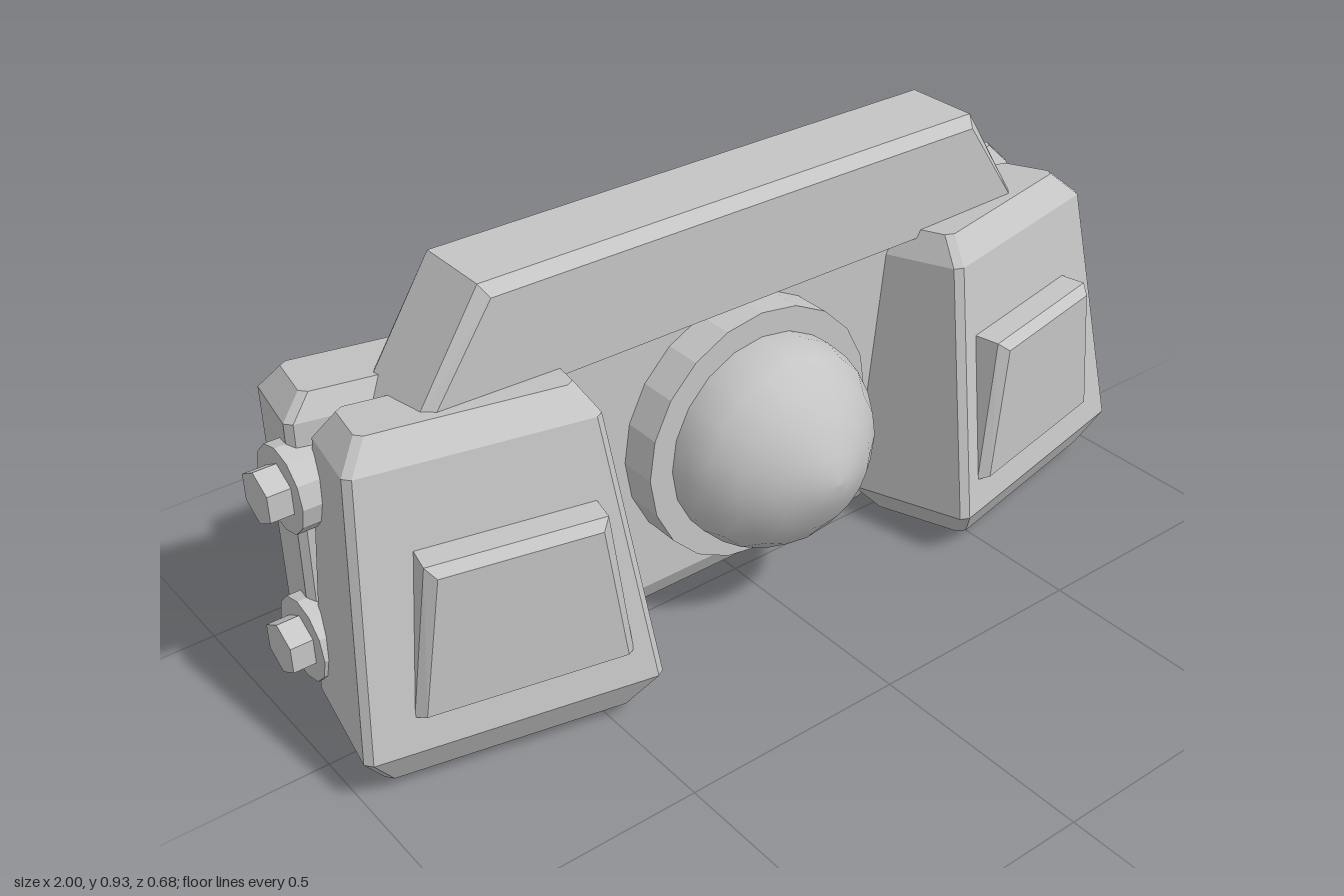
import * as THREE from 'three';
import { ConvexGeometry } from 'three/addons/geometries/ConvexGeometry.js';

const YAW = THREE.MathUtils.degToRad(12);

// Turns a side part's own frame (u across, y up, w forward) into model space
function podPoint(u, y, w, side, shear) {
  const c = Math.cos(YAW), s = Math.sin(YAW);
  return new THREE.Vector3(side * (0.69 + u * c + w * s), y + shear * w, -u * s + w * c);
}

// Solid through stacked rectangles with cut corners: [y, x0, x1, z0, z1]
function chamferedBlock(sections, cut, place) {
  const points = [];
  for (const [y, x0, x1, z0, z1] of sections) {
    for (const [x, dx] of [[x0, cut], [x1, -cut]]) {
      for (const [z, dz] of [[z0, cut], [z1, -cut]]) {
        points.push(place(x + dx, y, z), place(x, y, z + dz));
      }
    }
  }
  return new ConvexGeometry(points);
}

export function createModel() {
  const model = new THREE.Group();
  model.name = 'clampBody';
  const grey = new THREE.MeshStandardMaterial({ color: 0xc4c4c4 });
  grey.name = 'grey';

  const add = (name, geometry, parent = model) => {
    const mesh = new THREE.Mesh(geometry, grey);
    mesh.name = name;
    parent.add(mesh);
    return mesh;
  };

  // Central housing
  add('centreBlock', chamferedBlock([
    [0.015, -0.42, 0.42, -0.3, -0.03],
    [0.07, -0.45, 0.45, -0.33, 0],
    [0.685, -0.45, 0.45, -0.33, 0],
    [0.74, -0.42, 0.42, -0.3, -0.03],
  ], 0.03, (x, y, z) => new THREE.Vector3(x, y, z)));

  // Round base and dome on the front
  const base = new THREE.CylinderGeometry(0.285, 0.285, 0.105, 20).toNonIndexed();
  base.computeVertexNormals();
  add('domeBase', base.rotateX(Math.PI / 2).translate(0, 0.4, 0.033));

  const profile = [
    [0.23, 0.08], [0.232, 0.13], [0.218, 0.18], [0.18, 0.235],
    [0.12, 0.285], [0.06, 0.314], [0.03, 0.326], [0, 0.33],
  ].map(([r, h]) => new THREE.Vector2(r, h));
  add('dome', new THREE.LatheGeometry(profile, 20).rotateX(Math.PI / 2).translate(0, 0.4, 0));

  // Bevelled trapezoid bar across the top
  const outline = new THREE.Shape([
    [-0.77, 0.68], [0.77, 0.68], [0.61, 0.93], [-0.61, 0.93],
  ].map(([x, y]) => new THREE.Vector2(x, y)));
  add('topBar', new THREE.ExtrudeGeometry(outline, {
    depth: 0.17, bevelEnabled: true, bevelSegments: 1,
    bevelSize: 0.023, bevelThickness: 0.023, bevelOffset: -0.023,
  }).translate(0, 0, -0.14));

  for (const side of [1, -1]) {
    const pod = new THREE.Group();
    pod.name = side > 0 ? 'leftPod' : 'rightPod';
    model.add(pod);
    const sheared = (u, y, w) => podPoint(u, y, w, side, 0.12);

    // Tapered front shell
    add('frontShell', chamferedBlock([
      [0.01, -0.28, 0.225, -0.05, 0.19],
      [0.085, -0.335, 0.27, -0.09, 0.23],
      [0.655, -0.27, 0.222, -0.09, 0.13],
      [0.712, -0.235, 0.18, -0.06, 0.08],
    ], 0.015, sheared), pod);

    // Rear shell
    add('rearShell', chamferedBlock([
      [0.07, -0.22, 0.23, -0.25, -0.11],
      [0.12, -0.26, 0.27, -0.28, -0.085],
      [0.685, -0.26, 0.265, -0.305, -0.085],
      [0.735, -0.22, 0.225, -0.27, -0.11],
    ], 0.015, sheared), pod);

    // Raised trapezoid panel, upright against the sloping shell
    const panel = [];
    for (const [w, inset] of [[0.1, 0], [0.215, 0], [0.235, 0.018]]) {
      panel.push(
        podPoint(-0.275 + inset, 0.185 + inset * 0.4, w, side, 0),
        podPoint(0.165 - inset, 0.185 + inset * 0.4, w, side, 0),
        podPoint(0.12 - inset, 0.51 - inset, w, side, 0),
        podPoint(-0.235 + inset, 0.51 - inset, w, side, 0),
      );
    }
    add('frontPanel', new ConvexGeometry(panel), pod);

    // Washers and hex bolts on the outer side
    for (const y of [0.54, 0.19]) {
      for (const [name, radius, sides, x0, x1] of [
        ['washer', 0.09, 12, 0.86, 0.952], ['bolt', 0.057, 6, 0.9, 1.0],
      ]) {
        const disc = new THREE.CylinderGeometry(radius, radius, x1 - x0, sides).toNonIndexed();
        disc.computeVertexNormals();
        disc.rotateY(Math.PI / 2).rotateZ(Math.PI / 2);
        add(name, disc.translate(side * (x0 + x1) / 2, y, -0.153), pod);
      }
    }
  }
  return model;
}
